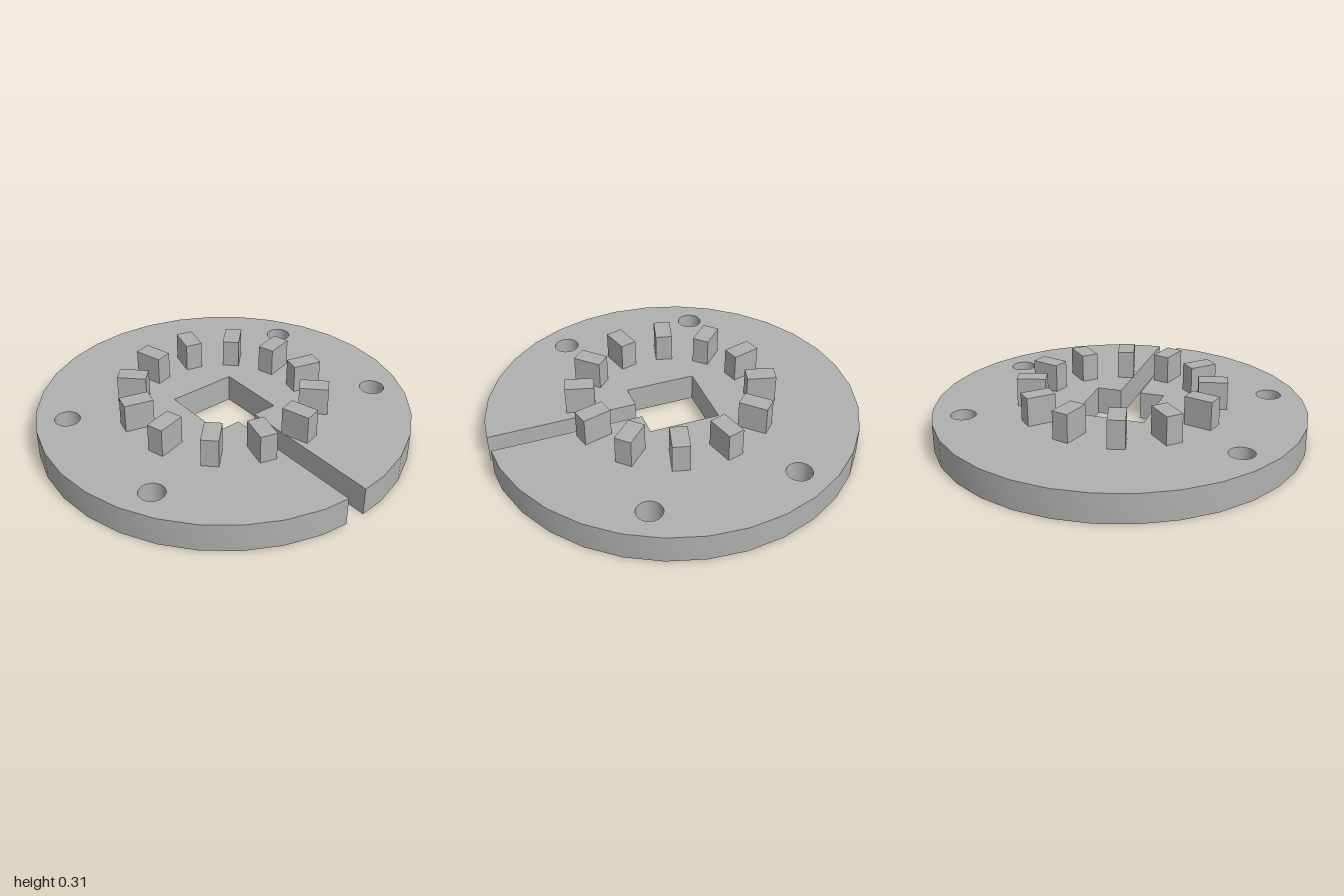
import * as THREE from 'three';
import { toCreasedNormals } from 'three/addons/utils/BufferGeometryUtils.js';

export function createModel() {
  const group = new THREE.Group();
  const grey = new THREE.MeshStandardMaterial({ color: 0xb0b0b0 });
  grey.name = 'grey';

  const baseHeight = 0.153, blockHeight = 0.153;
  const slot = 0.056, bore = 0.191;

  // Slotted 32-sided disc with a square bore open to the front
  const outline = [[slot, -0.9945]];
  for (let i = -7; i <= 23; i++) {
    const a = (i * Math.PI) / 16;
    outline.push([Math.cos(a), Math.sin(a)]);
  }
  outline.push(
    [-slot, -0.9945], [-slot, -bore], [-bore, -bore], [-bore, bore],
    [bore, bore], [bore, -bore], [slot, -bore]
  );
  const shape = new THREE.Shape(outline.map(([x, y]) => new THREE.Vector2(x, y)));

  // Four round mounting holes
  for (const sx of [-1, 1]) {
    for (const sy of [-1, 1]) {
      const hole = new THREE.Path();
      hole.absarc(sx * 0.739, sy * 0.389, 0.067, 0, Math.PI * 2, true);
      shape.holes.push(hole);
    }
  }
  const discGeometry = new THREE.ExtrudeGeometry(shape, {
    depth: baseHeight, bevelEnabled: false, curveSegments: 16,
  });
  discGeometry.rotateX(-Math.PI / 2);
  const disc = new THREE.Mesh(toCreasedNormals(discGeometry, 0.5), grey);
  disc.name = 'slottedDisc';
  group.add(disc);

  // Ring of twelve radial blocks, set slightly off the disc centre
  const ring = new THREE.Group();
  ring.name = 'blockRing';
  ring.position.set(-0.011, baseHeight, 0.005);
  const blockGeometry = new THREE.BoxGeometry(0.155, blockHeight, 0.091);
  for (let i = 0; i < 12; i++) {
    const a = ((i + 0.5) * Math.PI) / 6;
    const block = new THREE.Mesh(blockGeometry, grey);
    block.name = 'block' + (i + 1);
    block.position.set(0.483 * Math.cos(a), blockHeight / 2, -0.483 * Math.sin(a));
    block.rotation.y = a;
    ring.add(block);
  }
  group.add(ring);

  return group;
}
